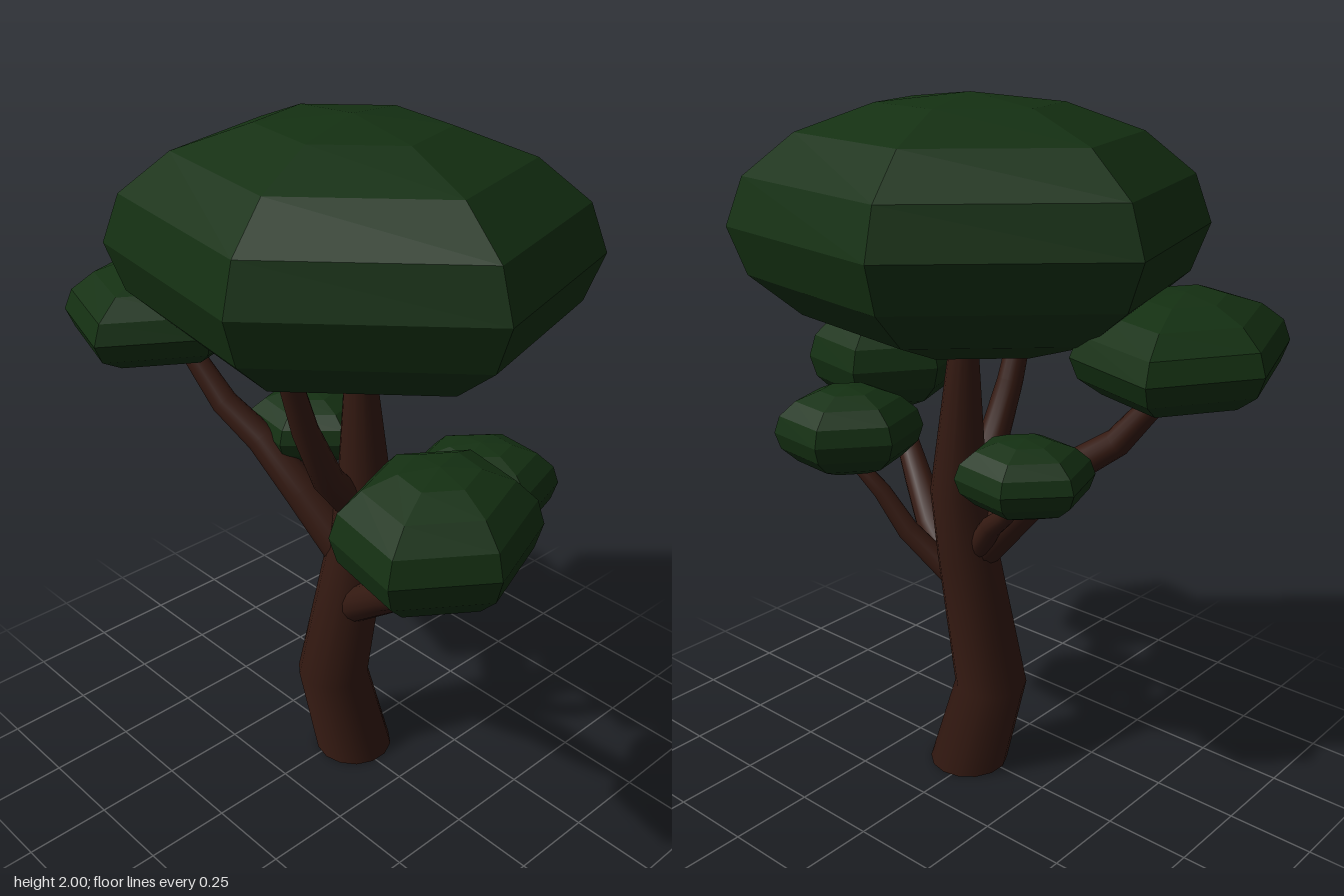
import * as THREE from 'three';

const bark = new THREE.MeshStandardMaterial({ color: 0x351a12 });
const leaf = new THREE.MeshStandardMaterial({ color: 0x143012, flatShading: true });
const UP = new THREE.Vector3(0, 1, 0);

// Tapered limb through nodes [x, y, z, radius]; flatStart keeps the first ring level
function limb(name, nodes, flatStart = false) {
  const points = nodes.map(([x, y, z]) => new THREE.Vector3(x, y, z));
  const last = nodes.length - 1;
  const turns = points.map((p, i) => {
    const dir = points[Math.min(i + 1, last)].clone().sub(points[Math.max(i - 1, 0)]).normalize();
    return new THREE.Quaternion().setFromUnitVectors(UP, flatStart && i === 0 ? UP : dir);
  });
  const geometry = new THREE.CylinderGeometry(1, 1, 1, 14, last);
  const { position, normal } = geometry.attributes;
  const v = new THREE.Vector3();
  for (let k = 0; k < position.count; k++) {
    v.fromBufferAttribute(position, k);
    const i = Math.round((v.y + 0.5) * last);
    v.setY(0).multiplyScalar(nodes[i][3]).applyQuaternion(turns[i]).add(points[i]);
    position.setXYZ(k, v.x, v.y, v.z);
    v.fromBufferAttribute(normal, k).applyQuaternion(turns[i]);
    normal.setXYZ(k, v.x, v.y, v.z);
  }
  const mesh = new THREE.Mesh(geometry, bark);
  mesh.name = name;
  return mesh;
}

// Six-sided flattened crown; a and d are its two horizontal half axes [x, z]
function crown(name, center, height, a, d) {
  const geometry = new THREE.SphereGeometry(1, 6, 8);
  geometry.applyMatrix4(new THREE.Matrix4().makeBasis(
    new THREE.Vector3(a[0], 0, a[1]),
    new THREE.Vector3(0, height, 0),
    new THREE.Vector3(d[0], 0, d[1])
  ));
  const mesh = new THREE.Mesh(geometry, leaf);
  mesh.name = name;
  mesh.position.set(...center);
  return mesh;
}

export function createModel() {
  const tree = new THREE.Group();
  tree.name = 'tree';

  // Trunk and branches
  tree.add(
    limb('trunk', [[0.028, 0, -0.015, 0.118], [-0.03, 0.275, 0.02, 0.108],
      [0.025, 0.7, -0.02, 0.09], [0.035, 0.9, -0.048, 0.082], [0.025, 1.42, -0.03, 0.032]], true),
    limb('frontUpperBranch', [[0.03, 0.88, -0.01, 0.052], [0.03, 1.0, 0.09, 0.046],
      [0.028, 1.18, 0.17, 0.038], [0.022, 1.42, 0.24, 0.03]]),
    limb('rightLargeBranch', [[0.0, 0.71, -0.01, 0.066], [-0.14, 0.875, 0.04, 0.056],
      [-0.27, 1.01, 0.08, 0.046], [-0.39, 1.1, 0.12, 0.04], [-0.52, 1.27, 0.16, 0.03]]),
    limb('leftLargeBranch', [[0.06, 0.56, 0.01, 0.056], [0.24, 0.7, 0.06, 0.05],
      [0.365, 0.8, 0.13, 0.043], [0.5, 0.93, 0.2, 0.033], [0.59, 1.0, 0.245, 0.026]]),
    limb('leftBackBranch', [[0.09, 0.61, -0.02, 0.038], [0.22, 0.73, -0.07, 0.033],
      [0.285, 0.85, -0.11, 0.027], [0.38, 0.95, -0.145, 0.02]]),
    limb('rightBackBranch', [[0.0, 0.7, -0.03, 0.038], [-0.1, 0.83, -0.06, 0.032],
      [-0.16, 0.88, -0.075, 0.026], [-0.235, 0.97, -0.09, 0.02]])
  );

  // Foliage
  tree.add(
    crown('topCrown', [0.03, 1.655, 0], 0.345, [0.635, 0.105], [-0.179, 0.58]),
    crown('rightLargeCrown', [-0.55, 1.382, 0.165], 0.148, [0.295, 0.095], [-0.023, 0.355]),
    crown('leftLargeCrown', [0.587, 1.15, 0.243], 0.175, [0.252, 0.052], [-0.03, 0.276]),
    crown('leftBackCrown', [0.375, 1.035, -0.148], 0.13, [0.198, 0.022], [-0.045, 0.208]),
    crown('rightBackCrown', [-0.238, 1.022, -0.085], 0.108, [0.187, 0.03], [-0.043, 0.179])
  );

  return tree;
}
